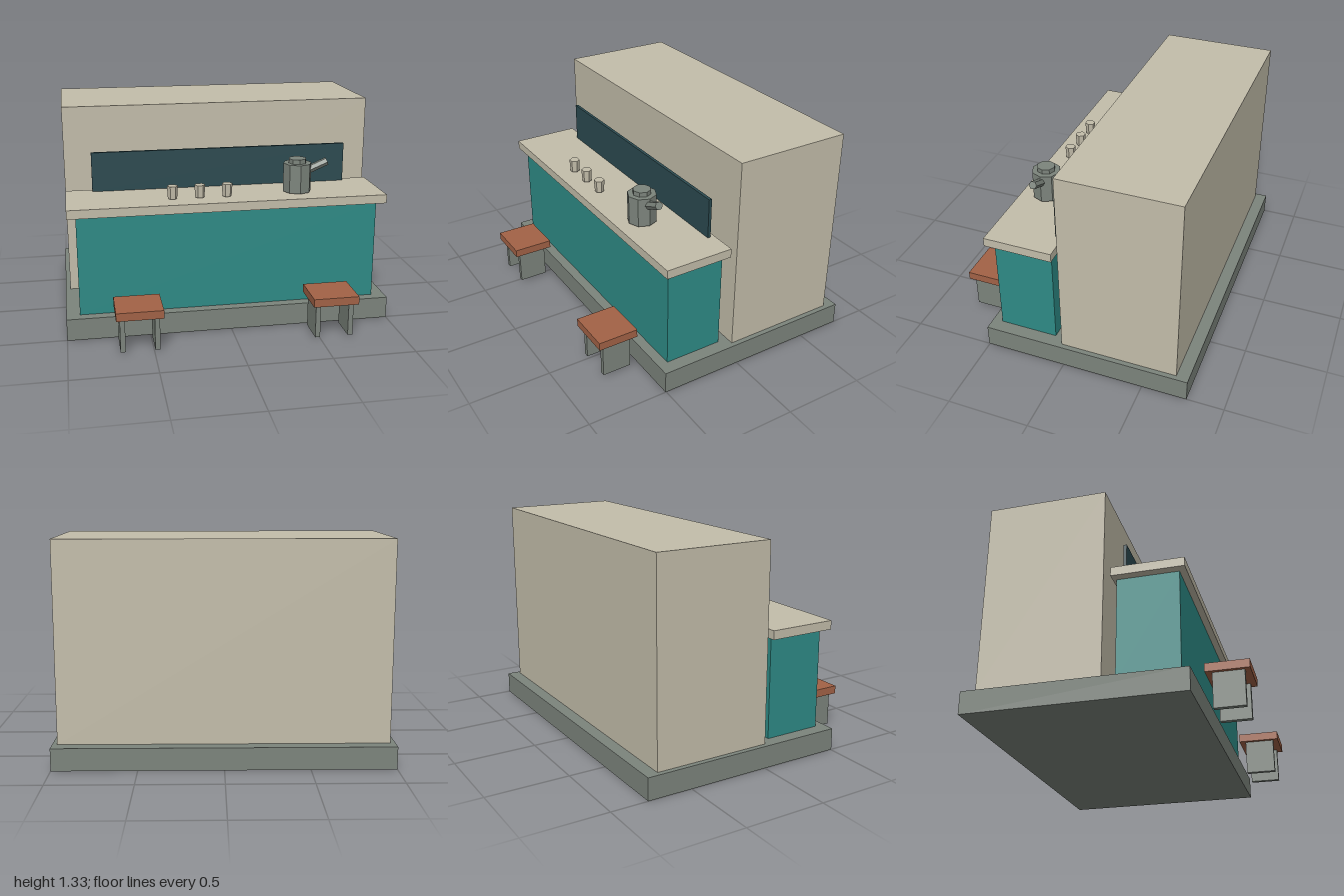
import * as THREE from 'three';

const mat = (name, color) => {
  const m = new THREE.MeshStandardMaterial({ color, flatShading: true });
  m.name = name;
  return m;
};

export function createModel() {
  const model = new THREE.Group();
  model.name = 'counterKiosk';

  const beige = mat('beige', 0xc3bdaa);
  const teal = mat('teal', 0x2e8b86);
  const darkTeal = mat('darkTeal', 0x2b4a50);
  const grey = mat('grey', 0x7c847c);
  const rust = mat('rust', 0xa26246);

  const add = (parent, name, geometry, material, x, y, z) => {
    const mesh = new THREE.Mesh(geometry, material);
    mesh.name = name;
    mesh.position.set(x, y, z);
    parent.add(mesh);
    return mesh;
  };
  // Box given by its lower and upper limits on each axis
  const box = (parent, name, material, [x0, x1], [y0, y1], [z0, z1]) =>
    add(parent, name, new THREE.BoxGeometry(x1 - x0, y1 - y0, z1 - z0), material,
      (x0 + x1) / 2, (y0 + y1) / 2, (z0 + z1) / 2);

  // Building and counter
  box(model, 'basePlinth', grey, [-1, 1], [0, 0.135], [-0.775, 0.505]);
  box(model, 'backBuilding', beige, [-0.97, 0.97], [0.135, 1.325], [-0.7, 0.02]);
  box(model, 'counterBody', teal, [-0.918, 0.918], [0.135, 0.752], [0.082, 0.443]);
  box(model, 'counterTop', beige, [-0.97, 0.97], [0.752, 0.806], [0.06, 0.483]);
  box(model, 'backPanel', darkTeal, [-0.805, 0.805], [0.806, 1.052], [0.086, 0.105]);

  // Cups, slightly wider at the rim
  for (const x of [-0.337, -0.171, -0.004]) {
    const cup = add(model, 'cup', new THREE.CylinderGeometry(0.033, 0.028, 0.078, 6),
      beige, x, 0.853, 0.362);
    cup.rotation.y = Math.PI / 6;
  }

  // Kettle with lid and tilted spout
  const kettle = new THREE.Group();
  kettle.name = 'kettle';
  kettle.position.set(0.442, 0, 0.322);
  model.add(kettle);
  add(kettle, 'kettleBody', new THREE.CylinderGeometry(0.088, 0.088, 0.177, 8), grey, 0, 0.9035, 0);
  add(kettle, 'kettleLid', new THREE.CylinderGeometry(0.055, 0.055, 0.028, 8), grey, 0, 1.006, 0);
  const tilt = 0.4;
  const spout = add(kettle, 'kettleSpout', new THREE.CylinderGeometry(0.025, 0.025, 0.14, 6), grey,
    0.186 - 0.07 * Math.cos(tilt), 0.994 - 0.07 * Math.sin(tilt), 0);
  spout.rotation.z = tilt - Math.PI / 2;

  // Stools with two plank legs each
  for (const side of [-1, 1]) {
    const stool = new THREE.Group();
    stool.name = side < 0 ? 'rightStool' : 'leftStool';
    stool.position.x = side * 0.582;
    model.add(stool);
    box(stool, 'stoolSeat', rust, [-0.138, 0.138], [0.222, 0.272], [0.525, 0.775]);
    for (const x of [-0.101, 0.101]) {
      box(stool, 'stoolLeg', grey, [x - 0.015, x + 0.015], [0.014, 0.222], [0.563, 0.743]);
    }
  }

  return model;
}
